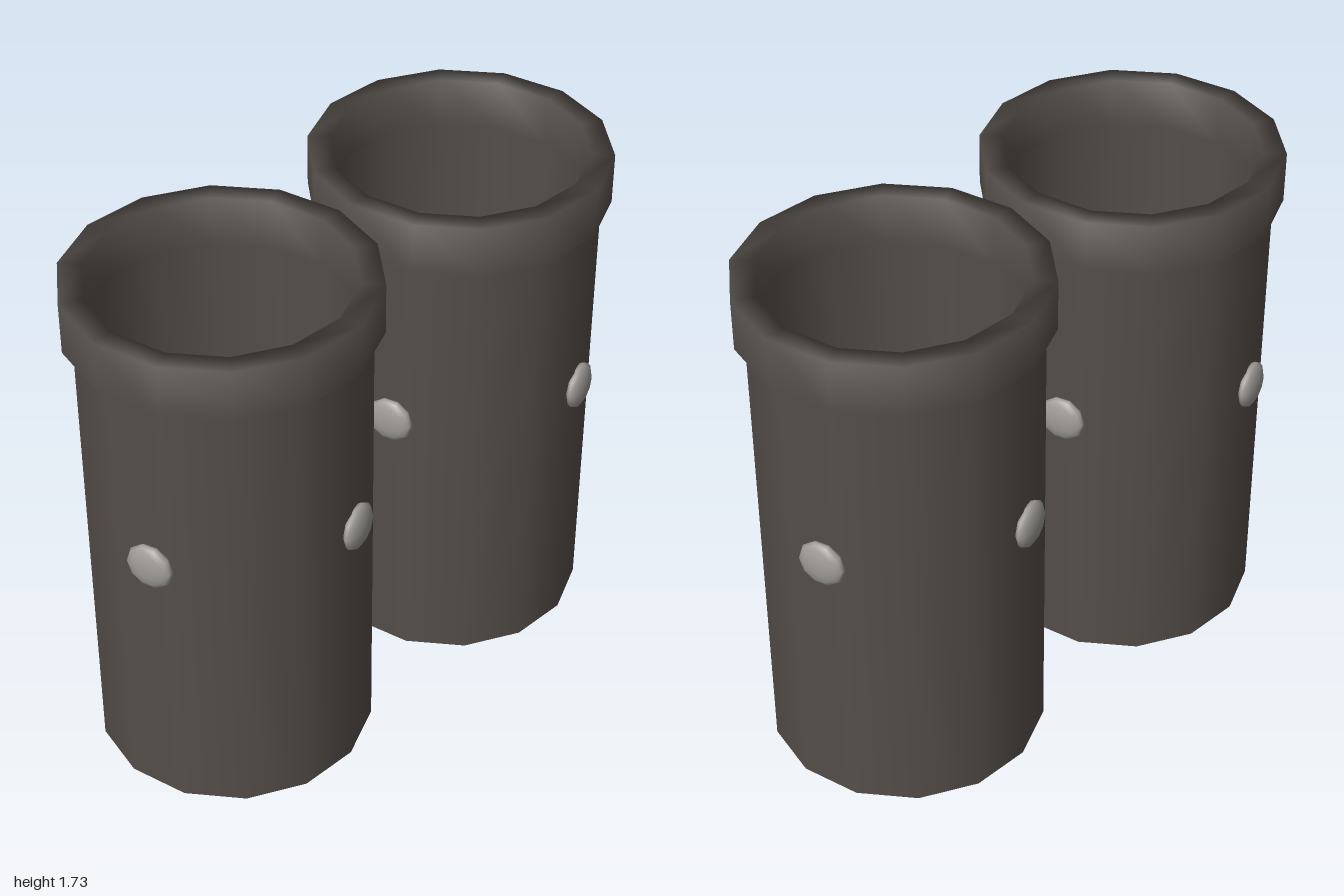
import * as THREE from 'three';

const SIDES = 14;
const dark = new THREE.MeshStandardMaterial({ color: 0x544e49, side: THREE.DoubleSide });
const metal = new THREE.MeshStandardMaterial({ color: 0xa09d97 });

// Turned part from [radius, height] points, with polygon corners on the x axis
function turned(name, points) {
  const profile = points.map(([r, y]) => new THREE.Vector2(r, y));
  const mesh = new THREE.Mesh(new THREE.LatheGeometry(profile, SIDES, Math.PI / 2), dark);
  mesh.name = name;
  return mesh;
}

function createCuff(name) {
  const cuff = new THREE.Group();
  cuff.name = name;

  // Thin open tube
  cuff.add(
    turned('tubeOuterWall', [[0.455, 0], [0.455, 1.6]]),
    turned('tubeInnerWall', [[0.44, 1.6], [0.44, 0]]),
    turned('tubeBottomEdge', [[0.44, 0], [0.455, 0]])
  );

  // Thick collar with softly shaded top edges and a crisp underside
  cuff.add(
    turned('collar', [[0.488, 1.56], [0.488, 1.73], [0.415, 1.73], [0.415, 1.56]]),
    turned('collarUnderside', [[0.415, 1.56], [0.488, 1.56]])
  );

  // Four flattened studs, a quarter turn apart
  const studGeometry = new THREE.SphereGeometry(0.08, 10, 8);
  studGeometry.rotateX(Math.PI / 2);
  studGeometry.scale(1, 1, 0.37);
  for (let i = 0; i < 4; i++) {
    const angle = 0.295 + i * Math.PI / 2;
    const stud = new THREE.Mesh(studGeometry, metal);
    stud.name = 'stud' + (i + 1);
    stud.position.set(0.46 * Math.sin(angle), 0.95, 0.46 * Math.cos(angle));
    stud.rotation.y = angle;
    cuff.add(stud);
  }
  return cuff;
}

export function createModel() {
  const model = new THREE.Group();
  model.name = 'pairOfCuffs';
  for (const [name, side] of [['leftCuff', 1], ['rightCuff', -1]]) {
    const cuff = createCuff(name);
    cuff.position.x = side * 0.512;
    model.add(cuff);
  }
  return model;
}
